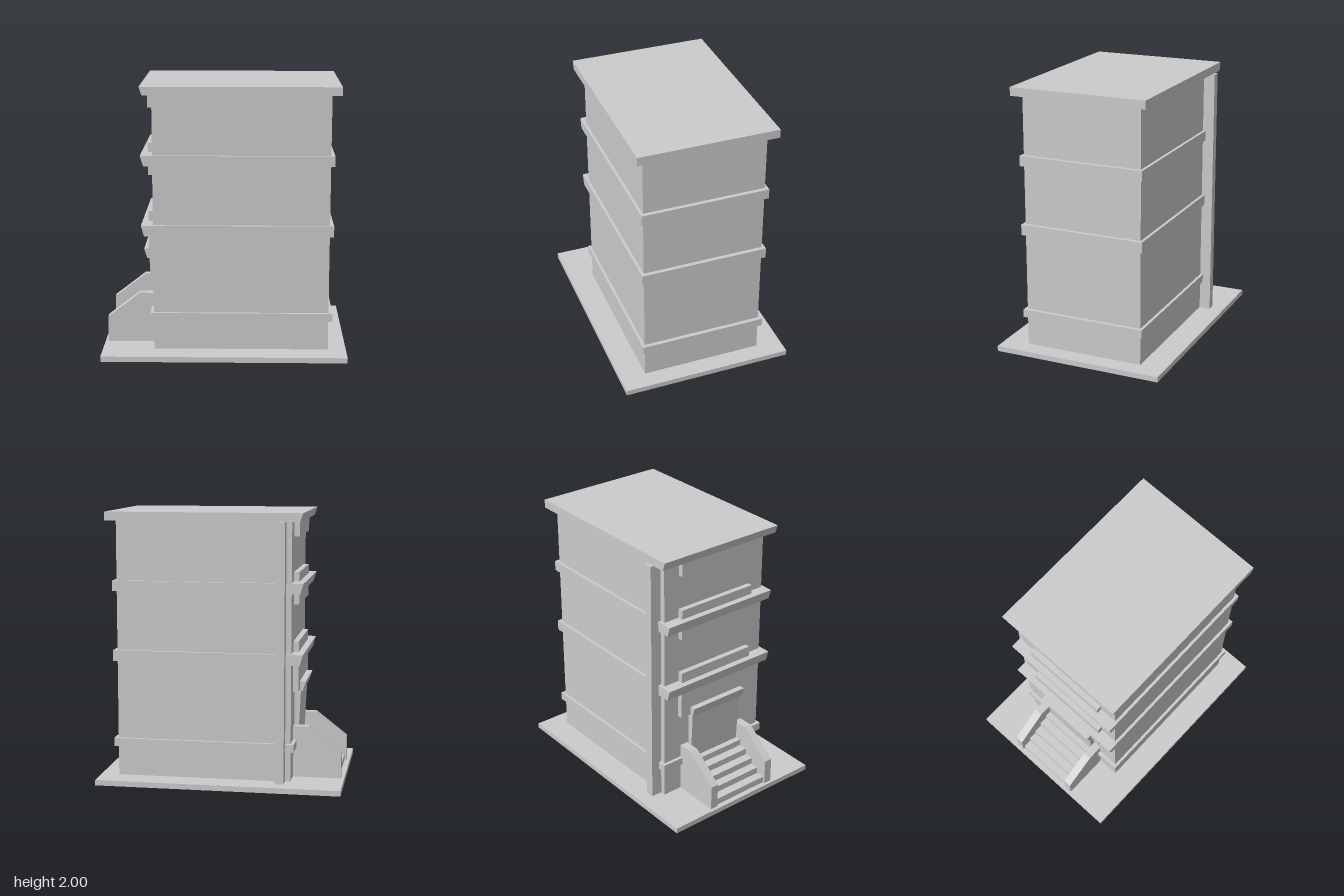
import * as THREE from 'three';

export function createModel() {
  const model = new THREE.Group();
  const material = new THREE.MeshStandardMaterial({ color: 0xcccccc, flatShading: true });
  const openMaterial = new THREE.MeshStandardMaterial({ color: 0xcccccc, flatShading: true, side: THREE.DoubleSide });

  // Box given by its limits on each axis
  function box(name, [x0, x1], [y0, y1], [z0, z1]) {
    const mesh = new THREE.Mesh(new THREE.BoxGeometry(x1 - x0, y1 - y0, z1 - z0), material);
    mesh.position.set((x0 + x1) / 2, (y0 + y1) / 2, (z0 + z1) / 2);
    mesh.name = name;
    model.add(mesh);
    return mesh;
  }

  // Side profile (x, y) extruded between two z limits
  function profile(name, points, [z0, z1]) {
    const shape = new THREE.Shape(points.map(([x, y]) => new THREE.Vector2(x, y)));
    const geometry = new THREE.ExtrudeGeometry(shape, { depth: z1 - z0, bevelEnabled: false });
    const mesh = new THREE.Mesh(geometry, material);
    mesh.position.z = z0;
    mesh.name = name;
    model.add(mesh);
  }

  // Slab whose entrance-side edge leans outward towards the top
  function leaningSlab(name, xTop, xBottom, xEnd, [y0, y1], z) {
    profile(name, [[xBottom, y0], [xEnd, y0], [xEnd, y1], [xTop, y1]], z);
  }

  // Ground slab: a shallow shell, open underneath
  const slab = box('groundSlab', [-0.902, 0.902], [0, 0.04], [-0.645, 0.645]);
  const corners = Array.from(slab.geometry.index.array);
  slab.geometry.setIndex(corners.filter((_, i) => i < 18 || i >= 24));
  slab.material = openMaterial;

  // Main block
  box('mainBlock', [-0.52, 0.768], [0.04, 1.95], [-0.453, 0.455]);

  // Roof and storey ledges
  leaningSlab('roof', -0.604, -0.583, 0.837, [1.937, 2], [-0.515, 0.515]);
  for (const y of [[0.903, 0.983], [1.422, 1.498]]) {
    leaningSlab('storeyLedge', -0.606, -0.583, 0.797, y, [-0.475, 0.476]);
  }

  // Plinth band, interrupted by the entrance stairs
  const bandY = [0.262, 0.322];
  box('plinthBand', [-0.51, 0.797], bandY, [-0.475, 0.476]);
  box('plinthBandEnd', [-0.545, -0.51], bandY, [-0.475, -0.3]);
  box('plinthBandEnd', [-0.545, -0.51], bandY, [0.29, 0.476]);

  // Raised panels on the entrance side
  for (const y of [[0.685, 1.06], [1.33, 1.567], [1.825, 1.94]]) {
    box('wallPanel', [-0.56, -0.51], y, [-0.325, 0.322]);
  }

  // Corner downpipe
  box('downpipe', [-0.48, -0.415], [0.04, 1.937], [-0.538, -0.44]);

  // Doorway with its canopy
  leaningSlab('door', -0.568, -0.547, -0.51, [0.25, 0.69], [-0.225, 0.225]);
  leaningSlab('doorCanopy', -0.605, -0.583, -0.51, [0.677, 0.75], [-0.24, 0.24]);

  // Entrance steps between two sloping side walls
  for (let i = 0; i < 5; i++) {
    box('step', [-0.862 + i * 0.067, -0.51], [0.04 + i * 0.05, 0.09 + i * 0.05], [-0.24, 0.235]);
  }
  const wall = [[-0.878, 0.04], [-0.51, 0.04], [-0.51, 0.422], [-0.638, 0.422], [-0.878, 0.235]];
  for (const z of [[-0.3, -0.238], [0.231, 0.293]]) profile('stairWall', wall, z);

  return model;
}
